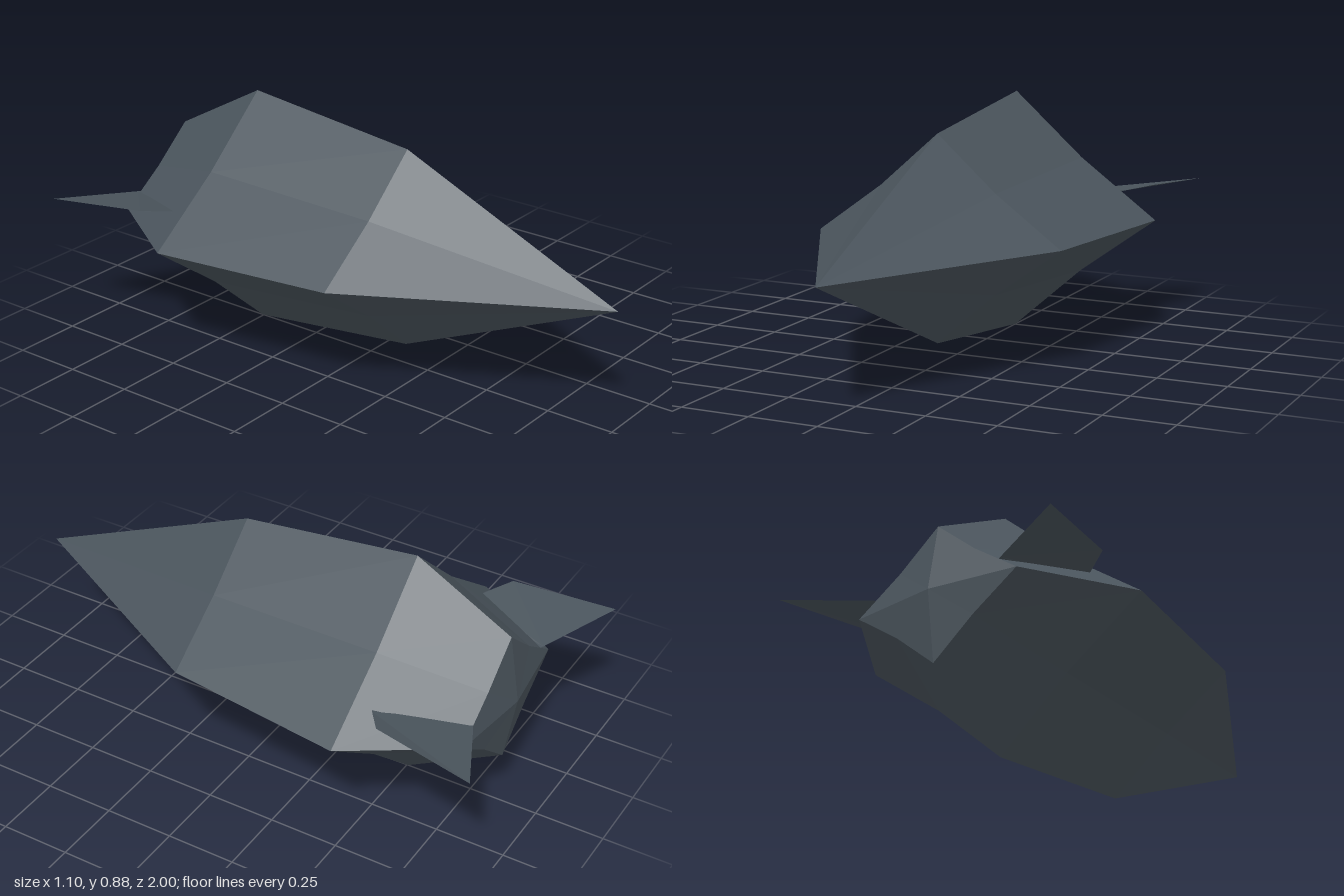
import * as THREE from 'three';

const CENTRE_Y = 0.445;

// Flat-shaded geometry from a list of corner points, three per triangle
function facets(points) {
  const g = new THREE.BufferGeometry();
  g.setAttribute('position', new THREE.Float32BufferAttribute(points.flat(), 3));
  g.computeVertexNormals();
  return g;
}

// Eight-cornered diamond section with slightly hollow sides
function diamond(z, halfWidth, halfHeight) {
  const unit = [[1, 0], [0.475, 0.477], [0, 1], [-0.475, 0.477],
    [-1, 0], [-0.475, -0.477], [0, -1], [0.475, -0.477]];
  return unit.map(([x, y]) => [x * halfWidth, CENTRE_Y + y * halfHeight, z]);
}

function hullGeometry() {
  const nose = [0, CENTRE_Y, 1];
  const tail = [0, CENTRE_Y, -0.9];
  const rings = [
    diamond(0.155, 0.46, 0.367),
    diamond(-0.505, 0.55, 0.441),
    diamond(-0.86, 0.32, 0.245),
  ];
  const tris = [];
  for (let i = 0; i < 8; i++) {
    const j = (i + 1) % 8;
    tris.push(nose, rings[0][i], rings[0][j]);
    for (let r = 0; r < 2; r++) {
      const a = rings[r], b = rings[r + 1];
      tris.push(a[i], b[i], b[j], a[i], b[j], a[j]);
    }
    tris.push(tail, rings[2][j], rings[2][i]);
  }
  return facets(tris);
}

// Thin swept fin; side is +1 for left, -1 for right
function finGeometry(side) {
  const outline = [
    [0.55, 0.526, -1], [0.26, 0.495, -0.865], [0.22, 0.49, -0.84],
    [0.3, 0.498, -0.72], [0.37, 0.528, -0.555], [0.4, 0.532, -0.57], [0.49, 0.55, -0.635],
  ].map(([x, y, z]) => [x * side, y, z]);
  const flat = outline.map(([x, , z]) => new THREE.Vector2(x, -z));
  const tris = [];
  for (const [a, b, c] of THREE.ShapeUtils.triangulateShape(flat, [])) {
    // keep every triangle facing upwards
    const up = THREE.ShapeUtils.area([flat[a], flat[b], flat[c]]) > 0;
    tris.push(outline[a], outline[up ? b : c], outline[up ? c : b]);
  }
  return facets(tris);
}

export function createModel() {
  const model = new THREE.Group();
  model.name = 'spacecraft';
  const slate = new THREE.MeshStandardMaterial({
    name: 'slateGrey', color: 0x4a545c, flatShading: true, side: THREE.DoubleSide,
  });

  const hull = new THREE.Mesh(hullGeometry(), slate);
  hull.name = 'hull';
  model.add(hull);

  for (const side of [1, -1]) {
    const fin = new THREE.Mesh(finGeometry(side), slate);
    fin.name = side > 0 ? 'leftFin' : 'rightFin';
    model.add(fin);
  }
  return model;
}
